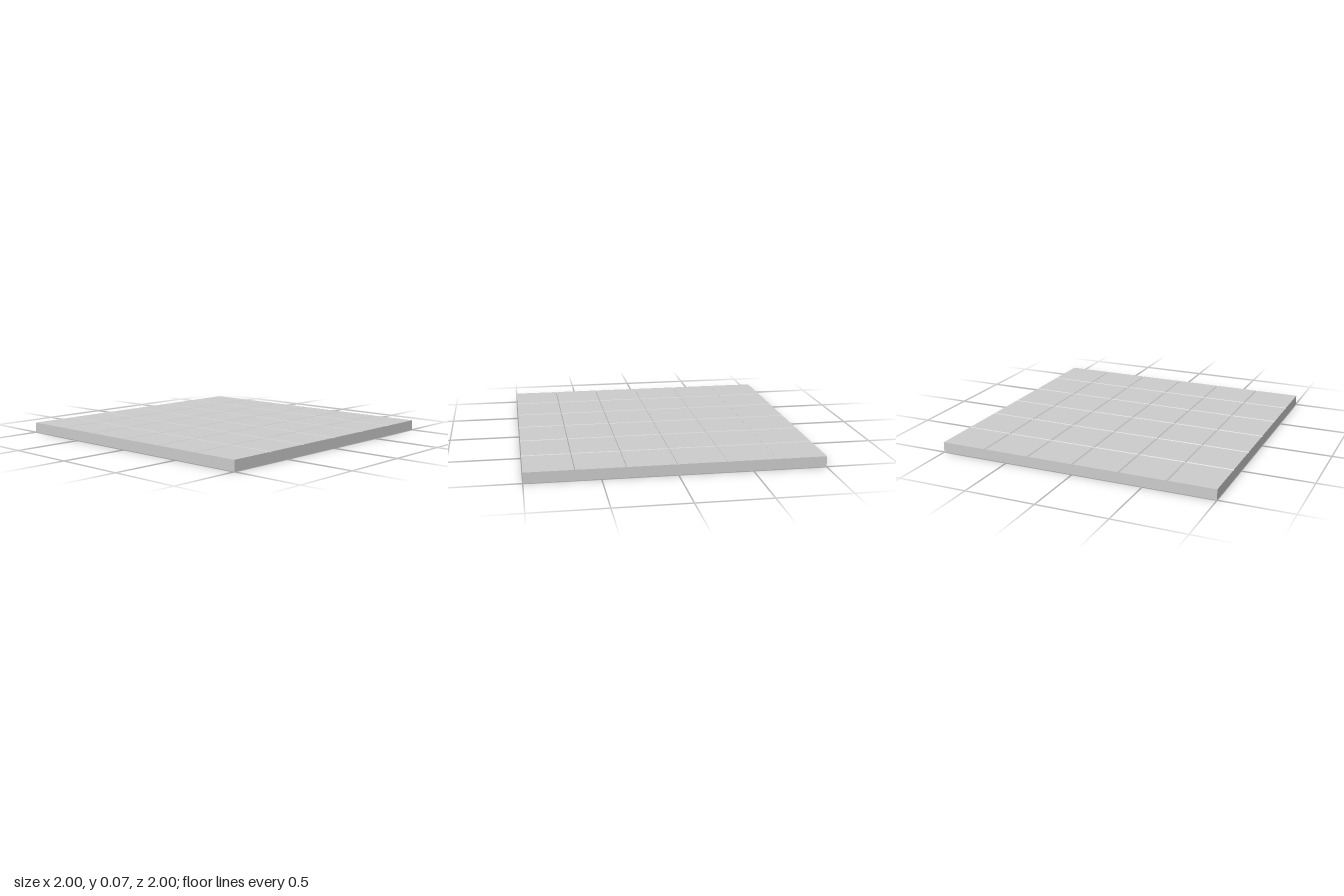
import * as THREE from 'three';

const TILES = 6, TOP = 0.073, DEPTH = 0.007, HALF = 0.007;

export function createModel() {
  const group = new THREE.Group();
  const material = new THREE.MeshStandardMaterial({
    color: 0xcccccc, flatShading: true, side: THREE.DoubleSide,
  });
  const add = (name, geometry) => {
    const mesh = new THREE.Mesh(geometry, material);
    mesh.name = name;
    group.add(mesh);
    return mesh;
  };

  // Profile across the deck: flat tiles parted by narrow V grooves
  const profile = [[-1, TOP]];
  for (let i = 1; i < TILES; i++) {
    const c = -1 + (2 * i) / TILES;
    profile.push([c - HALF, TOP], [c, TOP - DEPTH], [c + HALF, TOP]);
  }
  profile.push([1, TOP]);

  // Tiled deck: a grid whose lines follow the profile in both directions
  const n = profile.length;
  const deck = new THREE.PlaneGeometry(2, 2, n - 1, n - 1);
  for (let j = 0; j < n; j++) {
    for (let i = 0; i < n; i++) {
      const y = Math.min(profile[i][1], profile[j][1]);
      deck.attributes.position.setXYZ(j * n + i, profile[i][0], y, profile[j][0]);
    }
  }
  deck.computeVertexNormals();
  add('tiledDeck', deck);

  // Thin side skirts, notched where the grooves run out
  const outline = [[-1, 0], [1, 0], ...[...profile].reverse()];
  const skirt = new THREE.ShapeGeometry(
    new THREE.Shape(outline.map(([x, y]) => new THREE.Vector2(x, y))));
  ['frontSkirt', 'leftSkirt', 'backSkirt', 'rightSkirt'].forEach((name, k) => {
    const angle = (k * Math.PI) / 2;
    const mesh = add(name, skirt);
    mesh.rotation.y = angle;
    mesh.position.set(Math.sin(angle), 0, Math.cos(angle));
  });

  // Two thin ribs under the deck, running front to back
  const ribHeight = TOP - DEPTH;
  for (const side of [-1, 1]) {
    const rib = add(side > 0 ? 'leftRib' : 'rightRib', new THREE.PlaneGeometry(2, ribHeight));
    rib.rotation.y = (side * Math.PI) / 2;
    rib.position.set(side / 3, ribHeight / 2, 0);
  }

  return group;
}
